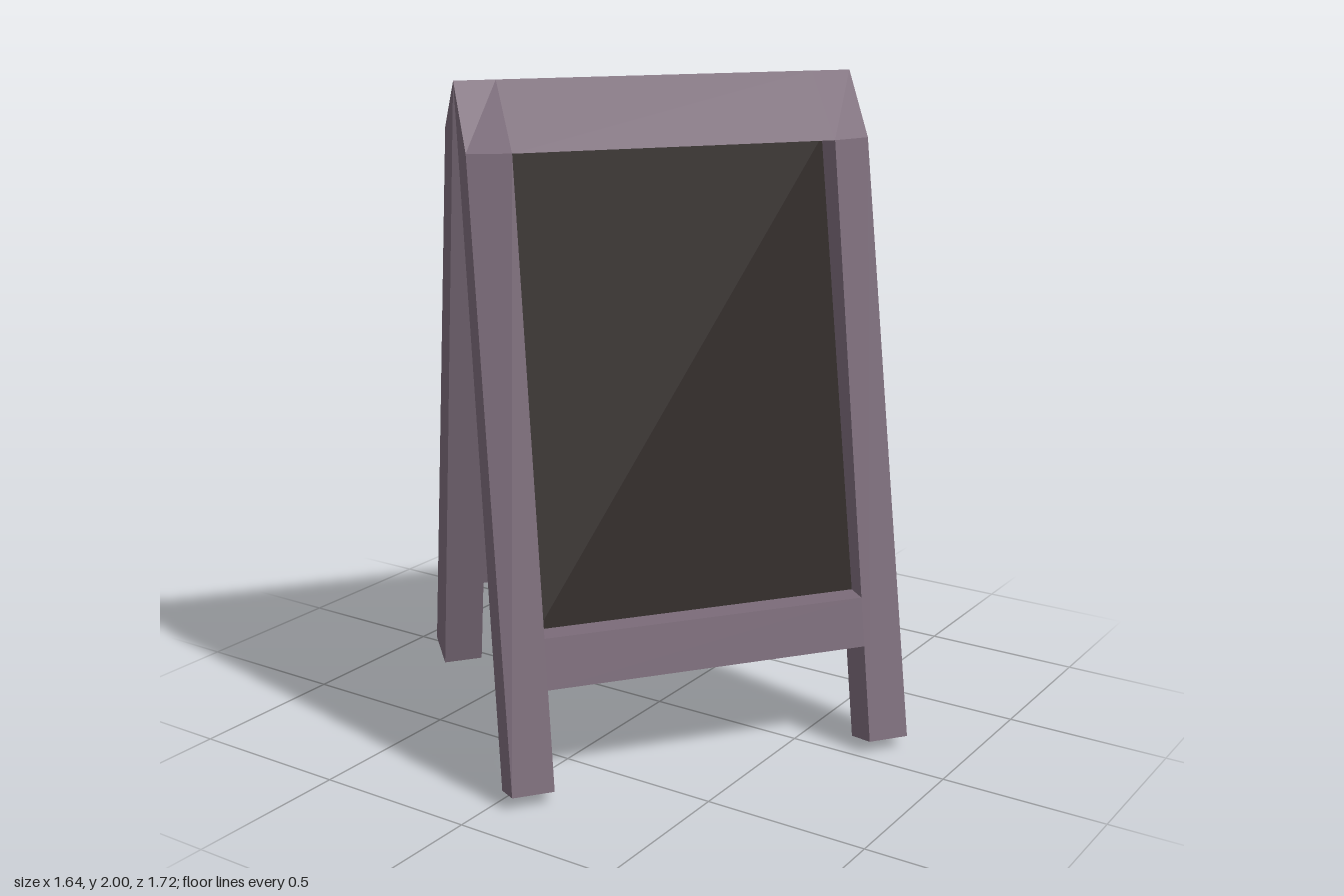
import * as THREE from 'three';

const frameMat = new THREE.MeshStandardMaterial({ color: 0x7b6b79, flatShading: true });
const boardMat = new THREE.MeshStandardMaterial({ color: 0x1c110c, flatShading: true });

// Solid between two cross-sections (lists of [z, y]) at x0 and x1, with a slight sideways lean
function loft(name, x0, secA, x1, secB, material) {
  const place = (x, [z, y]) => [x - 0.037 * z, y, z];
  const a = secA.map((p) => place(x0, p));
  const b = secB.map((p) => place(x1, p));
  const pos = [];
  const tri = (...pts) => pts.forEach((p) => pos.push(...p));
  a.forEach((_, i) => {
    const j = (i + 1) % a.length;
    tri(b[i], a[i], a[j]);
    tri(b[i], a[j], b[j]);
    if (i > 0 && j > 0) {
      tri(b[0], b[i], b[j]);
      tri(a[0], a[j], a[i]);
    }
  });
  const geo = new THREE.BufferGeometry();
  geo.setAttribute('position', new THREE.Float32BufferAttribute(pos, 3));
  geo.computeVertexNormals();
  const mesh = new THREE.Mesh(geo, material);
  mesh.name = name;
  return mesh;
}

// One leaf of the A-frame, leaning out towards +z from the ridge
function makeLeaf(name, { shoulder, lip, lift, foot, slope, panelTop, panelBottom }) {
  const leaf = new THREE.Group();
  leaf.name = name;
  const half = 0.62, open = 0.495;
  const ridge = [0, 2];
  const inner = (y) => [slope * (2 - y), y];
  const topY = 1.81 + lift, sillY = 0.47 + lift;
  const footOuter = [foot, 0.04 + lift * 0.9], footInner = inner(lift);
  const outer = (y) => {
    const t = (topY - y) / (topY - footOuter[1]);
    return [lip + (foot - lip) * t, y];
  };

  // legs
  const outside = [ridge, [shoulder, topY], footOuter, footInner];
  const inside = [ridge, [lip, topY], footOuter, footInner];
  leaf.add(loft('leftLeg', open, inside, half, outside, frameMat));
  leaf.add(loft('rightLeg', -half, outside, -open, inside, frameMat));

  // bevelled top rail and bottom rail
  const span = (part, section, material) =>
    leaf.add(loft(part, -open, section, open, section, material));
  span('topRail', [ridge, [lip, topY], inner(topY)], frameMat);
  span('bottomRail', [inner(sillY), outer(sillY), outer(0.325 + lift), inner(0.29 + lift)], frameMat);

  // backing slab and recessed writing surface
  const skin = 0.008;
  span('backing', [inner(topY), [panelTop - skin, topY], [panelBottom - skin, sillY], inner(sillY)], frameMat);
  span('writingSurface', [[panelTop - skin, topY], [panelTop, topY], [panelBottom, sillY], [panelBottom - skin, sillY]], boardMat);
  return leaf;
}

export function createModel() {
  const model = new THREE.Group();
  model.name = 'sandwichBoard';

  const front = makeLeaf('frontLeaf', {
    shoulder: 0.155, lip: 0.195, lift: 0, foot: 0.58, slope: 0.223, panelTop: 0.09, panelBottom: 0.412,
  });
  const back = makeLeaf('backLeaf', {
    shoulder: 0.143, lip: 0.143, lift: 0.045, foot: 0.575, slope: 0.221, panelTop: 0.088, panelBottom: 0.422,
  });
  back.rotation.y = Math.PI;

  // the sign stands turned on the ground
  const sign = new THREE.Group();
  sign.name = 'sign';
  sign.add(front, back);
  sign.rotation.y = 0.923;
  sign.position.set(-0.006, 0, -0.003);
  model.add(sign);
  return model;
}
